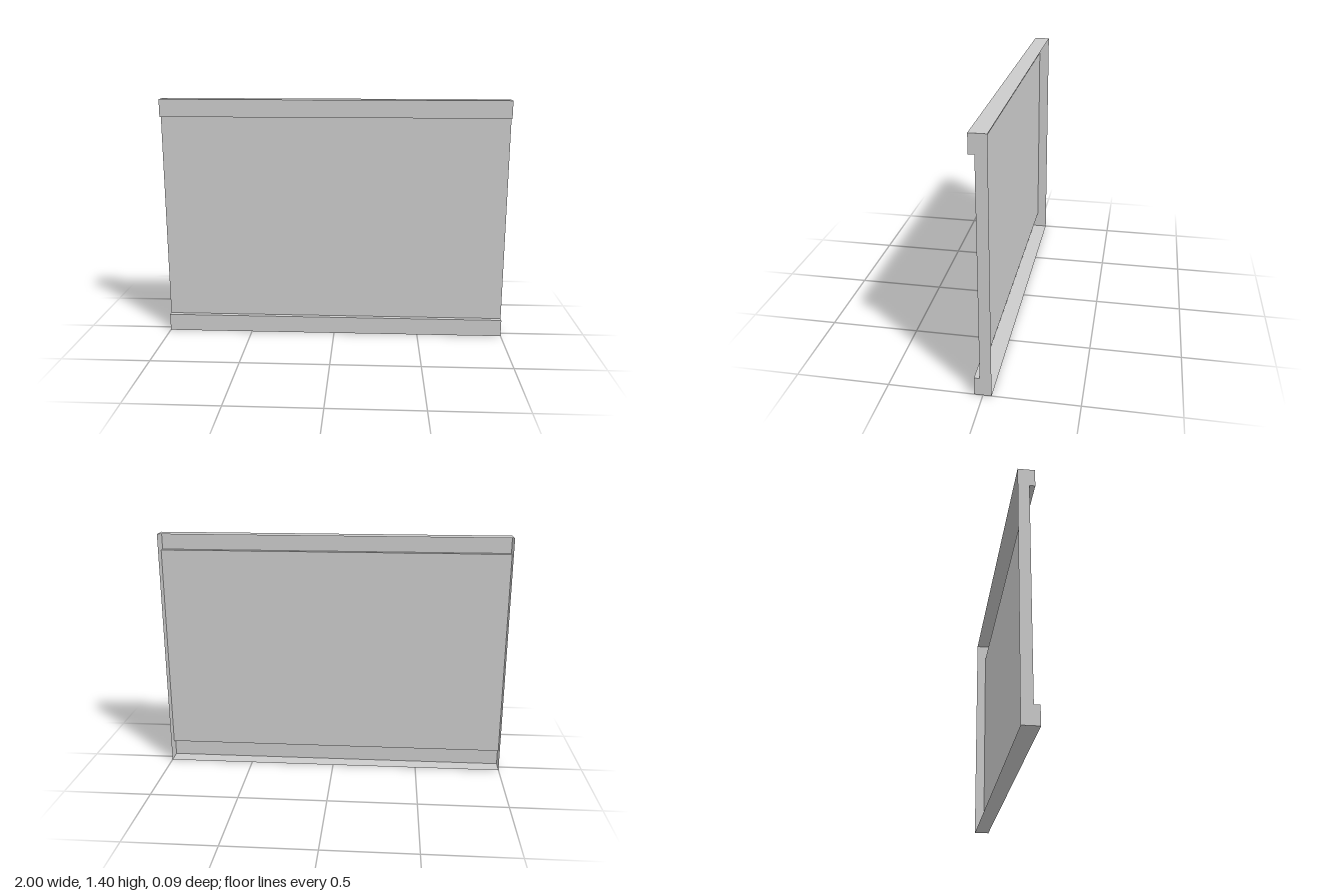
import * as THREE from 'three';

const WIDTH = 2, HEIGHT = 1.4, RAIL = 0.1;
const BACK = -0.045, PANEL = 0.015, FRONT = 0.045;

// The sheet is thin and open at the back, so it shows from both sides
const material = new THREE.MeshStandardMaterial({ color: 0xcccccc, side: THREE.DoubleSide });

// Outline of the folded sheet from the lower back edge to the upper back edge, as [z, y]
const profile = [
  [BACK, 0], [FRONT, 0], [FRONT, RAIL], [PANEL, RAIL],
  [PANEL, HEIGHT - RAIL], [FRONT, HEIGHT - RAIL], [FRONT, HEIGHT], [BACK, HEIGHT],
];
const names = ['bottomWall', 'bottomRailFace', 'bottomRailLedge', 'frontPanel',
  'topRailLedge', 'topRailFace', 'topWall'];

export function createModel() {
  const group = new THREE.Group();
  const add = (name, geometry) => {
    const mesh = new THREE.Mesh(geometry, material);
    mesh.name = name;
    group.add(mesh);
    return mesh;
  };

  // One full-width flat strip per fold, facing outward
  names.forEach((name, i) => {
    const [z0, y0] = profile[i], [z1, y1] = profile[i + 1];
    const dz = z1 - z0, dy = y1 - y0;
    const strip = add(name, new THREE.PlaneGeometry(WIDTH, Math.hypot(dz, dy)));
    strip.rotation.x = Math.atan2(dz, dy);
    strip.position.set(0, (y0 + y1) / 2, (z0 + z1) / 2);
  });

  // Notched end walls; shape x runs along -z for the left end and +z for the right
  for (const side of [1, -1]) {
    const shape = new THREE.Shape(profile.map(([z, y]) => new THREE.Vector2(-side * z, y)));
    const end = add(side > 0 ? 'leftEnd' : 'rightEnd', new THREE.ShapeGeometry(shape));
    end.rotation.y = side * Math.PI / 2;
    end.position.x = side * WIDTH / 2;
  }
  return group;
}
